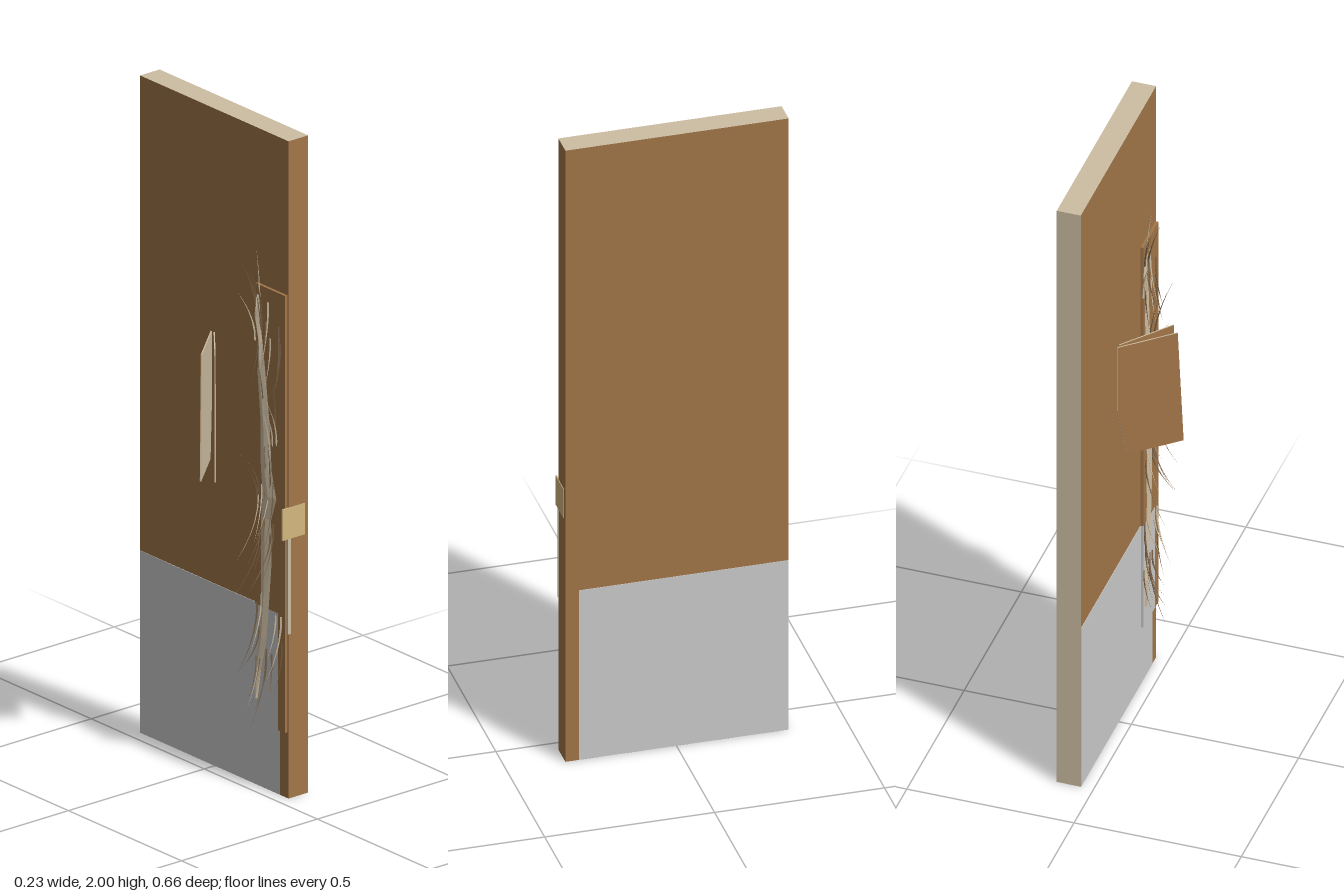
import * as THREE from 'three';

const mat = (color, side = THREE.FrontSide) =>
  new THREE.MeshStandardMaterial({ color, side, flatShading: true });
const brown = mat(0xa27648);
const rawWood = mat(0xcdbda3);
const rawWoodThin = mat(0xcdbda3, THREE.DoubleSide);
const darkWood = mat(0x7a6248);
const brass = mat(0xd4b880);
const grey = mat(0xcccccc);

// Box given by its minimum and maximum corners
function box(name, [x0, y0, z0], [x1, y1, z1], material) {
  const mesh = new THREE.Mesh(new THREE.BoxGeometry(x1 - x0, y1 - y0, z1 - z0), material);
  mesh.position.set((x0 + x1) / 2, (y0 + y1) / 2, (z0 + z1) / 2);
  mesh.name = name;
  return mesh;
}

// Peeled sheet of door skin: finished outside, raw wood inside
function peeledSkin(name, base, tip, lean) {
  const dx = tip[0] - base[0], dz = tip[1] - base[1];
  const length = Math.hypot(dx, dz);
  const outline = new THREE.Shape();
  outline.moveTo(0, 1.32);
  outline.lineTo(0, 1.1);
  outline.lineTo(0.025, 0.94);
  outline.lineTo(length, 0.94);
  outline.lineTo(length - lean, 1.32);
  const geometry = new THREE.ExtrudeGeometry(outline, { depth: 0.0035, bevelEnabled: false });
  // Local x runs from hinge to tip; the two faces look front and back
  const group = new THREE.Group();
  group.add(new THREE.Mesh(geometry, rawWood));
  const finish = new THREE.Mesh(new THREE.ShapeGeometry(outline), mat(0xa27648, THREE.DoubleSide));
  finish.position.z = 0.0042;
  group.add(finish);
  group.position.set(base[0], 0, base[1]);
  group.rotation.y = Math.atan2(-dz, dx);
  group.name = name;
  return group;
}

// Curved tapering splinter that starts on the crack and bends off the door
function splinter(y, z, rise, out, drift, radius, material) {
  const geometry = new THREE.ConeGeometry(radius, 1, 4, 5);
  geometry.translate(0, 0.5, 0);
  const p = geometry.attributes.position;
  for (let i = 0; i < p.count; i++) {
    const t = p.getY(i);
    p.setXYZ(i, p.getX(i) - out * t * t, rise * t, p.getZ(i) + drift * t * t);
  }
  if (rise < 0) { // restore outward winding after the flip
    const index = geometry.index.array;
    for (let i = 0; i < index.length; i += 3) [index[i], index[i + 1]] = [index[i + 1], index[i]];
  }
  geometry.computeVertexNormals();
  const mesh = new THREE.Mesh(geometry, material);
  mesh.position.set(0.03, y, z);
  mesh.name = 'splinter';
  return mesh;
}

// Jagged ribbon of exposed wood along the split; rows are [y, z, half width]
function crack(rows) {
  const vertices = [], index = [];
  rows.forEach(([y, z, w], i) => {
    vertices.push(0.028, y, z - w, 0.021, y, z, 0.028, y, z + w);
    if (i === 0) return;
    for (let k = 0; k < 2; k++) {
      const a = (i - 1) * 3 + k, b = i * 3 + k;
      index.push(a, a + 1, b, a + 1, b + 1, b);
    }
  });
  const geometry = new THREE.BufferGeometry();
  geometry.setAttribute('position', new THREE.Float32BufferAttribute(vertices, 3));
  geometry.setIndex(index);
  geometry.computeVertexNormals();
  const mesh = new THREE.Mesh(geometry, rawWoodThin);
  mesh.name = 'splitWood';
  return mesh;
}

export function createModel() {
  const model = new THREE.Group();
  model.name = 'brokenDoor';

  // Door slab: finished sides and front edge, raw top, bottom and back edge
  model.add(box('doorSlab', [0.038, 0, -0.33], [0.11, 2, 0.327],
    [brown, brown, rawWood, rawWood, brown, rawWood]));

  // Kick plates on both faces
  model.add(box('kickPlateOuter', [0.109, 0.001, -0.329], [0.1115, 0.555, 0.287], grey));
  model.add(box('kickPlateInner', [0.0365, 0.001, -0.329], [0.039, 0.555, 0.29], grey));

  // Loosened skin beside the lock edge, with the plate end still on it
  model.add(box('looseSkin', [0.029, 0.555, 0.19], [0.038, 1.53, 0.322], brown));
  model.add(box('loosePlate', [0.029, 0.2, 0.19], [0.0365, 0.555, 0.29], grey));
  model.add(box('looseEdge', [0.029, 0.2, 0.29], [0.038, 0.555, 0.322], brown));

  // Bent lock plate and bare wood strip on the front edge
  model.add(box('lockPlate', [0.014, 0.79, 0.325], [0.096, 0.885, 0.329], brass));
  model.add(box('bareEdge', [0.035, 0.5, 0.322], [0.045, 0.79, 0.329], rawWood));

  // Two peeled sheets of skin
  model.add(peeledSkin('peeledSkinBack', [0.038, -0.012], [-0.113, 0.122], 0.018));
  model.add(peeledSkin('peeledSkinFront', [0.038, 0.001], [-0.085, 0.153], 0.014));

  // Split in the wood
  model.add(crack([
    [1.5, 0.205, 0.002], [1.43, 0.2, 0.012], [1.36, 0.215, 0.009], [1.26, 0.22, 0.018],
    [1.12, 0.235, 0.02], [0.98, 0.24, 0.024], [0.9, 0.255, 0.03], [0.83, 0.24, 0.022],
    [0.7, 0.24, 0.024], [0.58, 0.235, 0.018], [0.46, 0.225, 0.016], [0.36, 0.205, 0.012],
    [0.27, 0.2, 0.002],
  ]));

  // Splinters: [count, lowest y, highest y, direction, z from, z to, reach]
  let seed = 7;
  const random = () => (seed = (seed * 16807) % 2147483647) / 2147483647;
  const splinters = new THREE.Group();
  splinters.name = 'splinters';
  const clusters = [
    [6, 1.32, 1.44, 1, 0.19, 0.22, 0.04],
    [6, 1.3, 1.5, -1, 0.2, 0.31, 0.03],
    [10, 0.85, 1.15, 1, 0.2, 0.29, 0.06],
    [9, 0.75, 0.95, -1, 0.2, 0.28, 0.085],
    [12, 0.38, 0.6, -1, 0.19, 0.31, 0.06],
  ];
  for (const [count, low, high, way, z0, z1, reach] of clusters) {
    for (let i = 0; i < count; i++) {
      const z = z0 + (z1 - z0) * random();
      const drift = z < 0.21 ? -0.045 * random() : (random() - 0.3) * 0.04;
      splinters.add(splinter(low + (high - low) * random(), z,
        way * (0.12 + 0.12 * random()), reach * (0.4 + 0.6 * random()), drift,
        0.003 + 0.002 * random(), i % 3 ? darkWood : rawWood));
    }
  }
  model.add(splinters);
  return model;
}
